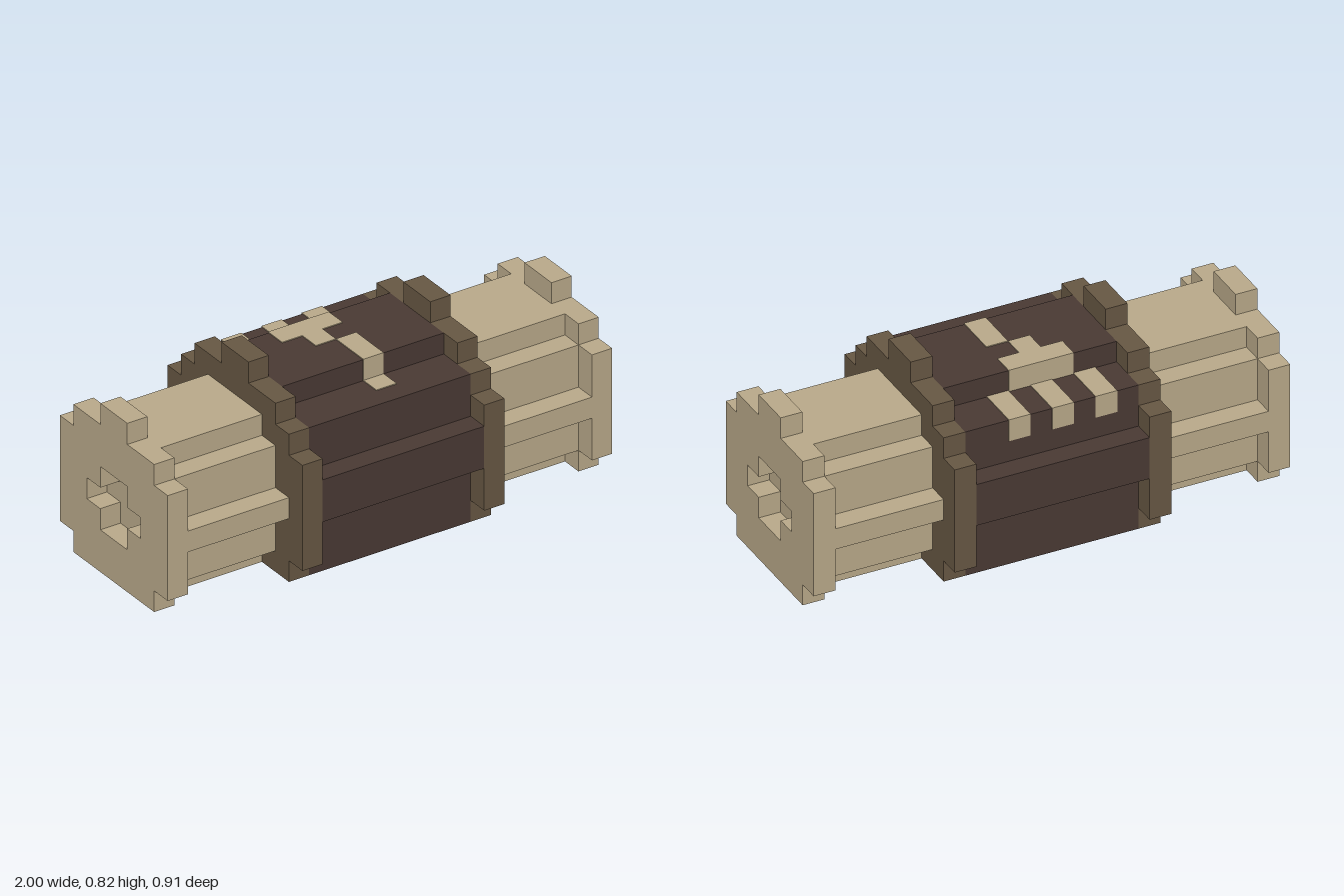
import * as THREE from 'three';

const U = 1 / 11; // one block

export function createModel() {
  const mat = (name, color) => {
    const m = new THREE.MeshStandardMaterial({ color });
    m.name = name;
    return m;
  };
  const tan = mat('tan', 0xbbab8b);
  const umber = mat('umber', 0x685844);
  const darkBrown = mat('dark brown', 0x4a3a34);

  const model = new THREE.Group();
  model.name = 'bundle';

  // Stepped outline from [half width, top height] tiers, bottom to top
  const outline = (tiers, y0, Type = THREE.Shape) => {
    const right = [];
    let y = y0;
    for (const [w, top] of tiers) {
      right.push([w, y], [w, top]);
      y = top;
    }
    const left = right.map(([w, h]) => [-w, h]).reverse();
    return new Type([...right, ...left].map(([w, h]) => new THREE.Vector2(w * U, h * U)));
  };

  // Prism along x between x0 and x1
  const prism = (name, shape, x0, x1, material) => {
    const g = new THREE.ExtrudeGeometry(shape, { depth: (x1 - x0) * U, bevelEnabled: false });
    g.rotateY(Math.PI / 2).translate(x0 * U, 0, 0);
    const mesh = new THREE.Mesh(g, material);
    mesh.name = name;
    model.add(mesh);
  };

  const core = outline([[4, 3], [5, 5], [4, 7], [2, 8]], 0);
  const ring = outline([[4, 1], [5, 6], [4, 7], [3, 8], [1, 9]], 0);
  const shaft = outline([[2, 1], [3, 3], [4, 4], [3, 6], [2, 7]], 0);
  const flange = outline([[3, 1], [4, 6], [3, 7], [1, 8]], 0);
  flange.holes.push(outline([[1, 3], [2, 4], [1, 5]], 2, THREE.Path));

  prism('core', core, -4, 4, darkBrown);
  for (const [side, s] of [['left', 1], ['right', -1]]) {
    const part = (name, shape, a, b, material) =>
      prism(side + name, shape, Math.min(s * a, s * b), Math.max(s * a, s * b), material);
    part('Ring', ring, 4, 5, umber);
    part('Shaft', shaft, 5, 10, tan);
    part('EndPlate', flange, 10, 11, tan); // with a cross-shaped recess
  }

  // Painted mark: thin plates spanning [x0, x1], [y0, y1], [z0, z1] in blocks
  const T = 0.04;
  const mark = new THREE.Group();
  mark.name = 'paintedMark';
  model.add(mark);
  const plate = (name, x0, x1, y0, y1, z0, z1) => {
    const g = new THREE.BoxGeometry((x1 - x0) * U, (y1 - y0) * U, (z1 - z0) * U);
    g.translate(((x0 + x1) / 2) * U, ((y0 + y1) / 2) * U, ((z0 + z1) / 2) * U);
    const mesh = new THREE.Mesh(g, tan);
    mesh.name = name;
    mark.add(mesh);
  };
  plate('markPalm', -2, 1, 8, 8 + T, -2 - T, -1);
  plate('markPalmBack', -2, 1, 7, 8, -2 - T, -2);
  plate('markNeck', -1, 0, 8, 8 + T, -1, 0);
  plate('markStem', 0, 1, 8, 8 + T, 0, 2 + T);
  plate('markStemFront', 0, 1, 7, 8, 2, 2 + T);
  plate('markFoot', 0, 1, 7, 7 + T, 2, 3);
  for (const x of [-3, -1, 1]) {
    plate('markStripe', x, x + 1, 7, 7 + T, -4 - T, -2);
    plate('markStripeEnd', x, x + 1, 6, 7, -4 - T, -4);
  }
  return model;
}
